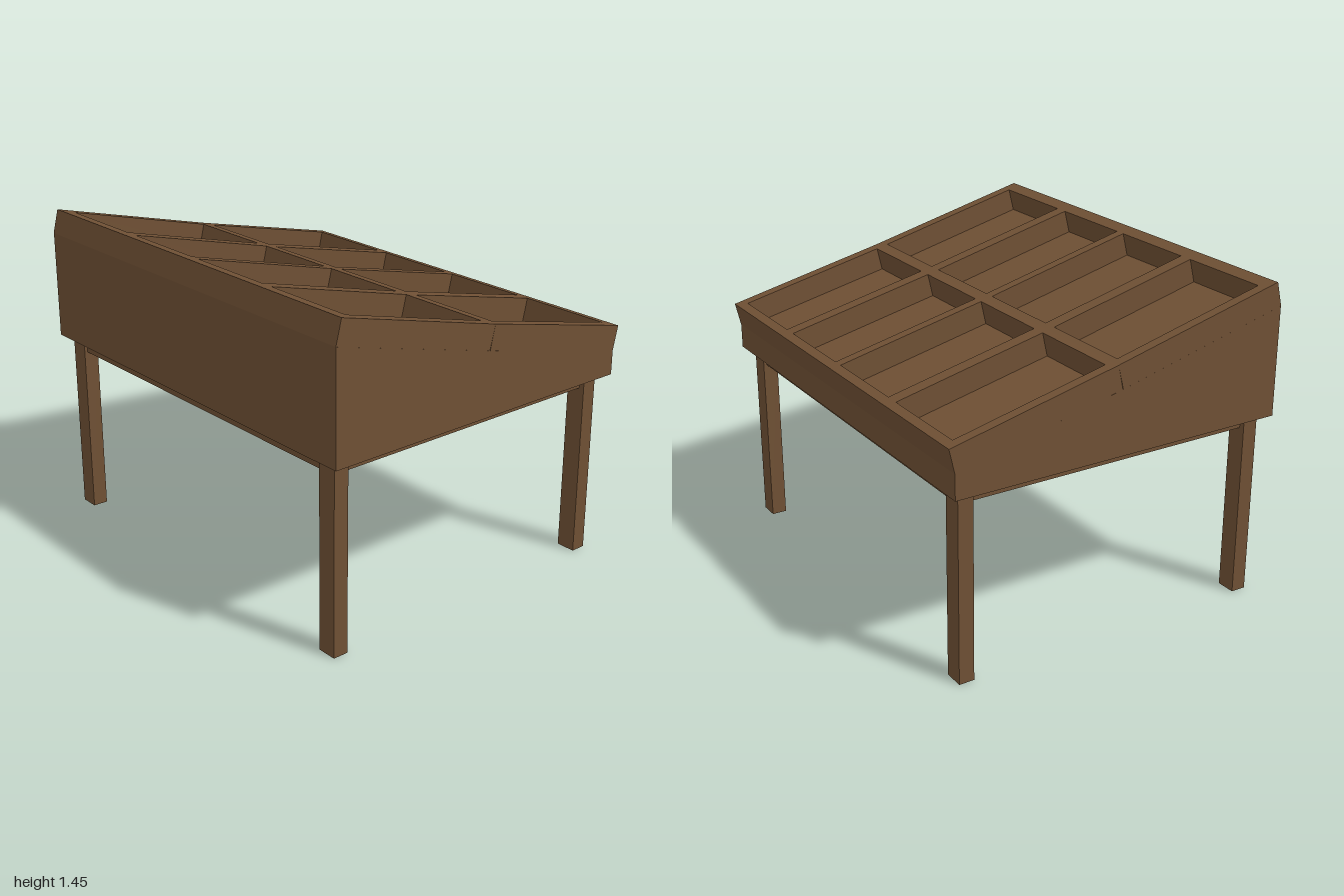
import * as THREE from 'three';

const wood = new THREE.MeshStandardMaterial({ color: 0x6f5034, flatShading: true });
const TRAY = 0.11; // thickness of the compartment tray

function add(group, name, geometry) {
  const mesh = new THREE.Mesh(geometry, wood);
  mesh.name = name;
  group.add(mesh);
  return mesh;
}

function box(group, name, w, h, d, x, y, z) {
  add(group, name, new THREE.BoxGeometry(w, h, d)).position.set(x, y, z);
}

function rect(target, x0, x1, s0, s1) {
  target.moveTo(x0, s0);
  target.lineTo(x1, s0);
  target.lineTo(x1, s1);
  target.lineTo(x0, s1);
  target.closePath();
  return target;
}

// Sloping slab from a high edge to a low edge ([z, y] of its top), with a row of openings
function traySection(group, name, high, low, openFront, openBack) {
  const slope = new THREE.Vector3(0, low[1] - high[1], low[0] - high[0]);
  const length = slope.length();
  slope.normalize();
  const normal = new THREE.Vector3(1, 0, 0).cross(slope);
  const along = z => (z - high[0]) / slope.z;

  const shape = rect(new THREE.Shape(), -1, 1, 0, length);
  const columns = [[-0.952, -0.513], [-0.449, -0.027], [0.021, 0.444], [0.508, 0.947]];
  for (const [x0, x1] of columns) {
    shape.holes.push(rect(new THREE.Path(), x0, x1, along(openFront), along(openBack)));
  }
  const geometry = new THREE.ExtrudeGeometry(shape, { depth: TRAY, bevelEnabled: false });
  geometry.translate(0, 0, -TRAY);
  geometry.applyMatrix4(new THREE.Matrix4()
    .makeBasis(new THREE.Vector3(1, 0, 0), slope, normal)
    .setPosition(0, high[1], high[0]));
  add(group, name, geometry);
}

export function createModel() {
  const group = new THREE.Group();
  group.name = 'displayTable';

  // Wedge-shaped body; its sloping top forms the compartment floors
  const profile = [[0.801, 0.85], [0.801, 1.343], [-0.004, 1.14], [-0.775, 0.963], [-0.775, 0.85]];
  const side = new THREE.Shape(profile.map(([z, y]) => new THREE.Vector2(-z, y)));
  const body = new THREE.ExtrudeGeometry(side, { depth: 2, bevelEnabled: false });
  body.rotateY(Math.PI / 2).translate(-1, 0, 0);
  add(group, 'body', body);

  // Two rows of compartments
  traySection(group, 'frontTray', [0.775, 1.45], [-0.03, 1.247], 0.711, -0.002);
  traySection(group, 'backTray', [-0.03, 1.247], [-0.8, 1.07], -0.06, -0.756);

  // Legs, and the rails running between them
  const legX = 0.901, legFront = 0.7275, legBack = -0.6975;
  for (const x of [-legX, legX]) {
    for (const z of [legFront, legBack]) box(group, 'leg', 0.09, 0.85, 0.07, x, 0.425, z);
    box(group, 'sideRail', 0.04, 0.06, 1.355, x, 0.82, 0.015);
  }
  for (const z of [legFront, legBack]) box(group, 'crossRail', 1.712, 0.06, 0.04, 0, 0.82, z);

  return group;
}
